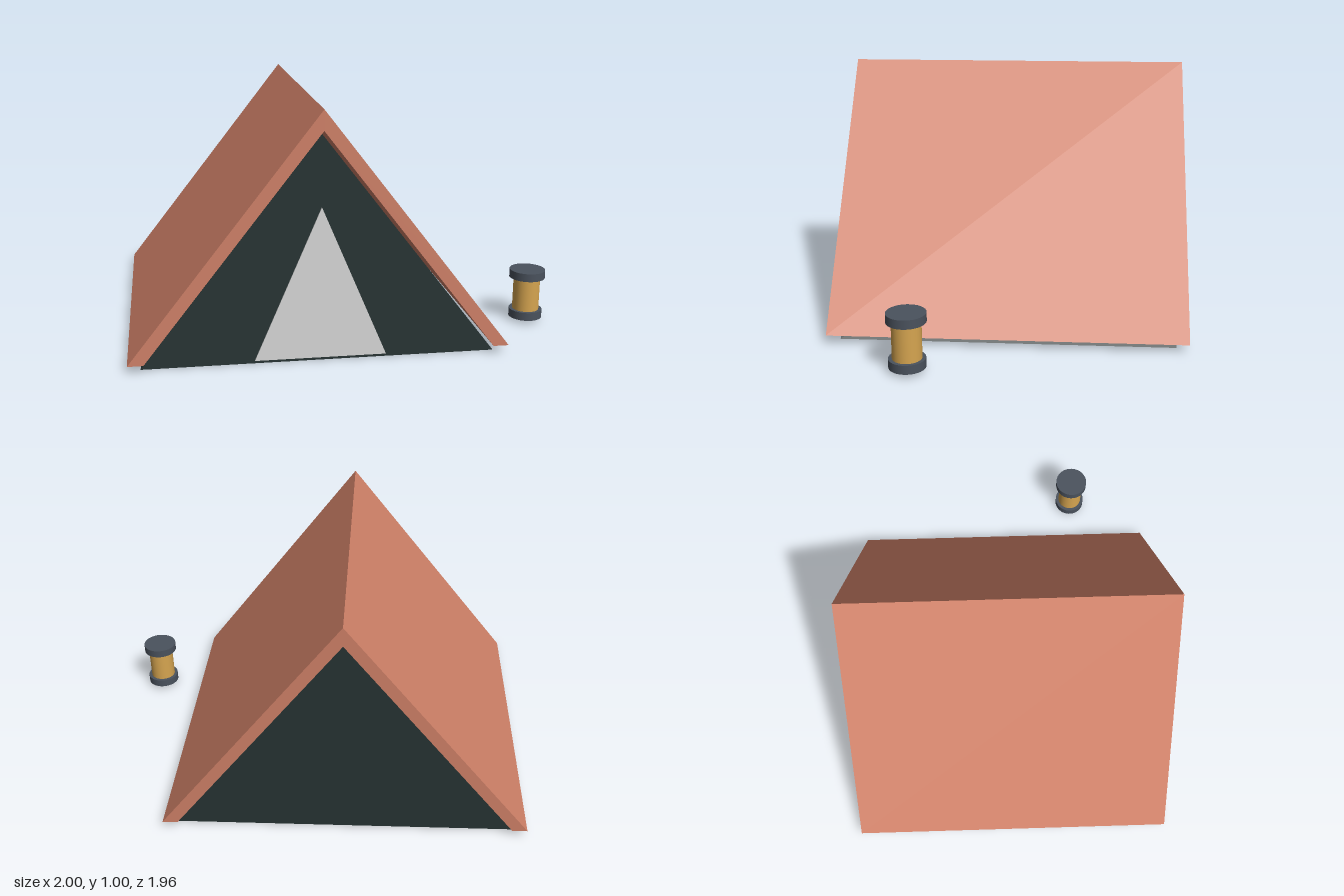
import * as THREE from 'three';

const material = (name, color) => {
  const m = new THREE.MeshStandardMaterial({ color });
  m.name = name;
  return m;
};

// Extrudes an outline in x/y, starting at depth z
function extrude(name, points, z, depth, mat) {
  const shape = new THREE.Shape(points.map(([x, y]) => new THREE.Vector2(x, y)));
  const geometry = new THREE.ExtrudeGeometry(shape, { depth, bevelEnabled: false });
  geometry.translate(0, 0, z);
  const mesh = new THREE.Mesh(geometry, mat);
  mesh.name = name;
  return mesh;
}

function disc(name, radius, bottom, top, mat) {
  const mesh = new THREE.Mesh(new THREE.CylinderGeometry(radius, radius, top - bottom, 32), mat);
  mesh.position.y = (bottom + top) / 2;
  mesh.name = name;
  return mesh;
}

export function createModel() {
  const canvas = material('terracotta canvas', 0xd08168);
  const inner = material('dark inner fabric', 0x263333);
  const flap = material('pale door fabric', 0xd8d8d8);
  const metal = material('slate metal', 0x4a525d);
  const glass = material('amber glass', 0xd6a550);

  const model = new THREE.Group();
  model.name = 'campsite';

  // Tent, turned on the ground
  const tent = new THREE.Group();
  tent.name = 'tent';
  tent.rotation.y = -Math.PI / 6;
  tent.add(
    // Outer cover: a folded slab overhanging both ends
    extrude('outerCover', [
      [-0.75, 0.035], [-0.688, 0.035], [0, 0.92], [0.688, 0.035], [0.75, 0.035], [0, 1],
    ], -0.7, 1.4, canvas),
    // Inner tent with closed ends and floor
    extrude('innerTent', [[-0.7, 0], [0.7, 0], [0, 0.9]], -0.655, 1.31, inner),
    // Triangular door on the front only
    extrude('door', [[-0.26, 0.012], [0.26, 0.012], [0, 0.62]], 0.655, 0.006, flap),
  );

  // Lantern beside the tent
  const lantern = new THREE.Group();
  lantern.name = 'lantern';
  lantern.position.set(0.65, 0, 0.775);
  lantern.add(
    disc('lanternBase', 0.07, 0.015, 0.05, metal),
    disc('lanternGlass', 0.056, 0.05, 0.192, glass),
    disc('lanternCap', 0.075, 0.192, 0.227, metal),
  );

  model.add(tent, lantern);
  return model;
}
